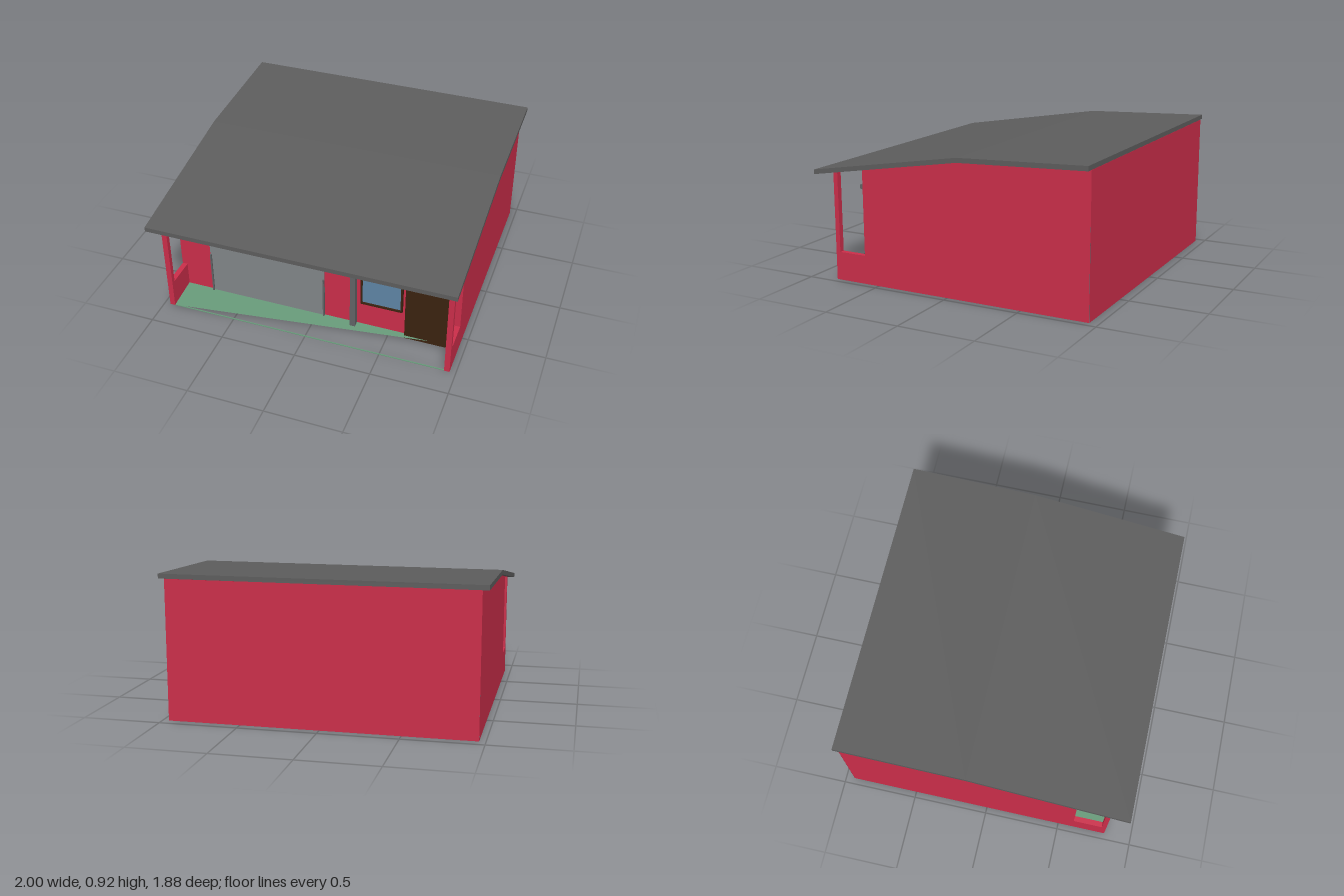
import * as THREE from 'three';

const mat = (name, color, side = THREE.FrontSide) => {
  const m = new THREE.MeshStandardMaterial({ color, side });
  m.name = name;
  return m;
};

export function createModel() {
  const red = mat('red wall', 0xc92d49, THREE.DoubleSide);
  const roofGrey = mat('roof grey', 0x5c5c5c);
  const lightGrey = mat('light grey', 0x808486);
  const darkGrey = mat('dark grey', 0x5f6264);
  const brown = mat('brown', 0x3a220f);
  const blue = mat('glass blue', 0x5d83a3);
  const green = mat('floor green', 0x669878, THREE.DoubleSide);

  const house = new THREE.Group();
  house.name = 'house';

  const add = (name, geometry, material, parent = house) => {
    const mesh = new THREE.Mesh(geometry, material);
    mesh.name = name;
    parent.add(mesh);
    return mesh;
  };
  // Box given by its limits on each axis
  const box = (name, material, [x0, x1], [y0, y1], [z0, z1], parent) => {
    const mesh = add(name, new THREE.BoxGeometry(x1 - x0, y1 - y0, z1 - z0), material, parent);
    mesh.position.set((x0 + x1) / 2, (y0 + y1) / 2, (z0 + z1) / 2);
    return mesh;
  };
  // Side profile of [z, y] points, flat at x or extruded from x towards -x
  const profile = (points, x, depth = 0) => {
    const shape = new THREE.Shape(points.map(([z, y]) => new THREE.Vector2(z, y)));
    const g = depth
      ? new THREE.ExtrudeGeometry(shape, { depth, bevelEnabled: false })
      : new THREE.ShapeGeometry(shape);
    return g.rotateY(-Math.PI / 2).translate(x, 0, 0);
  };
  const triangles = (points) => {
    const g = new THREE.BufferGeometry();
    g.setAttribute('position', new THREE.Float32BufferAttribute(points.flat(), 3));
    g.computeVertexNormals();
    return g;
  };

  // Two-pitch roof slab
  add('roof', profile([
    [0.94, 0.685], [0.94, 0.715], [-0.1, 0.886], [-0.94, 0.918], [-0.94, 0.888], [-0.1, 0.856],
  ], 1, 2), roofGrey);

  // Side walls, each with a low porch wall and a corner post
  for (const s of [-1, 1]) {
    const name = s > 0 ? 'left' : 'right';
    add(name + 'Wall', profile([
      [-0.94, 0], [0.6, 0], [0.6, 0.741], [-0.1, 0.856], [-0.94, 0.888],
    ], s * 0.96), red);
    add(name + 'PorchWall', profile([
      [0.6, 0], [0.82, 0], [0.82, 0.705], [0.79, 0.71], [0.79, 0.185], [0.6, 0.185],
    ], s > 0 ? 0.96 : -0.925, 0.035), red);
  }

  // Back and front walls; the house is open underneath
  const back = add('backWall', new THREE.PlaneGeometry(1.92, 0.888).rotateY(Math.PI), red);
  back.position.set(0, 0.444, -0.942);
  const front = add('frontWall', new THREE.PlaneGeometry(1.92, 0.741), red);
  front.position.set(0, 0.3705, 0.6);

  // Garage door with short guide rails
  box('garageDoor', lightGrey, [-0.74, 0.06], [0, 0.505], [0.601, 0.608]);
  for (const x of [-0.74, 0.05]) box('garageRail', darkGrey, [x, x + 0.01], [0, 0.325], [0.601, 0.618]);

  // Porch beam and pillar, each with a lighter stretch
  box('beamLightEnd', lightGrey, [-0.925, -0.585], [0.605, 0.635], [0.601, 0.643]);
  box('beam', darkGrey, [-0.585, 0.925], [0.605, 0.635], [0.601, 0.643]);
  box('pillarTop', lightGrey, [0.245, 0.28], [0.48, 0.605], [0.601, 0.643]);
  box('pillar', darkGrey, [0.245, 0.28], [0, 0.48], [0.601, 0.643]);

  // Framed panes; the frame passes through the wall
  const framed = (name, [x0, x1], [y0, y1], t) => {
    const g = new THREE.Group();
    g.name = name;
    const z = [0.597, 0.62];
    box('frameSide', brown, [x0, x0 + t], [y0, y1], z, g);
    box('frameSide', brown, [x1 - t, x1], [y0, y1], z, g);
    box('frameRail', brown, [x0 + t, x1 - t], [y0, y0 + t], z, g);
    box('frameRail', brown, [x0 + t, x1 - t], [y1 - t, y1], z, g);
    box('glass', blue, [x0 + t, x1 - t], [y0 + t, y1 - t], [0.602, 0.61], g);
    house.add(g);
  };
  framed('window', [0.308, 0.587], [0.205, 0.51], 0.012);
  framed('windowTransom', [0.308, 0.587], [0.513, 0.567], 0.006);
  framed('doorTransom', [0.606, 0.885], [0.513, 0.567], 0.006);
  box('frontDoor', brown, [0.606, 0.885], [0, 0.51], [0.601, 0.62]);

  // Wedge of sloping porch floor and the thin edging along its front
  add('porchFloor', triangles([
    [-0.925, 0.003, 0.82], [0.925, 0.024, 0.602], [-0.925, 0.024, 0.602],
  ]), green);
  box('porchEdge', green, [-0.925, 0.925], [0, 0.004], [0.812, 0.82]);

  return house;
}
